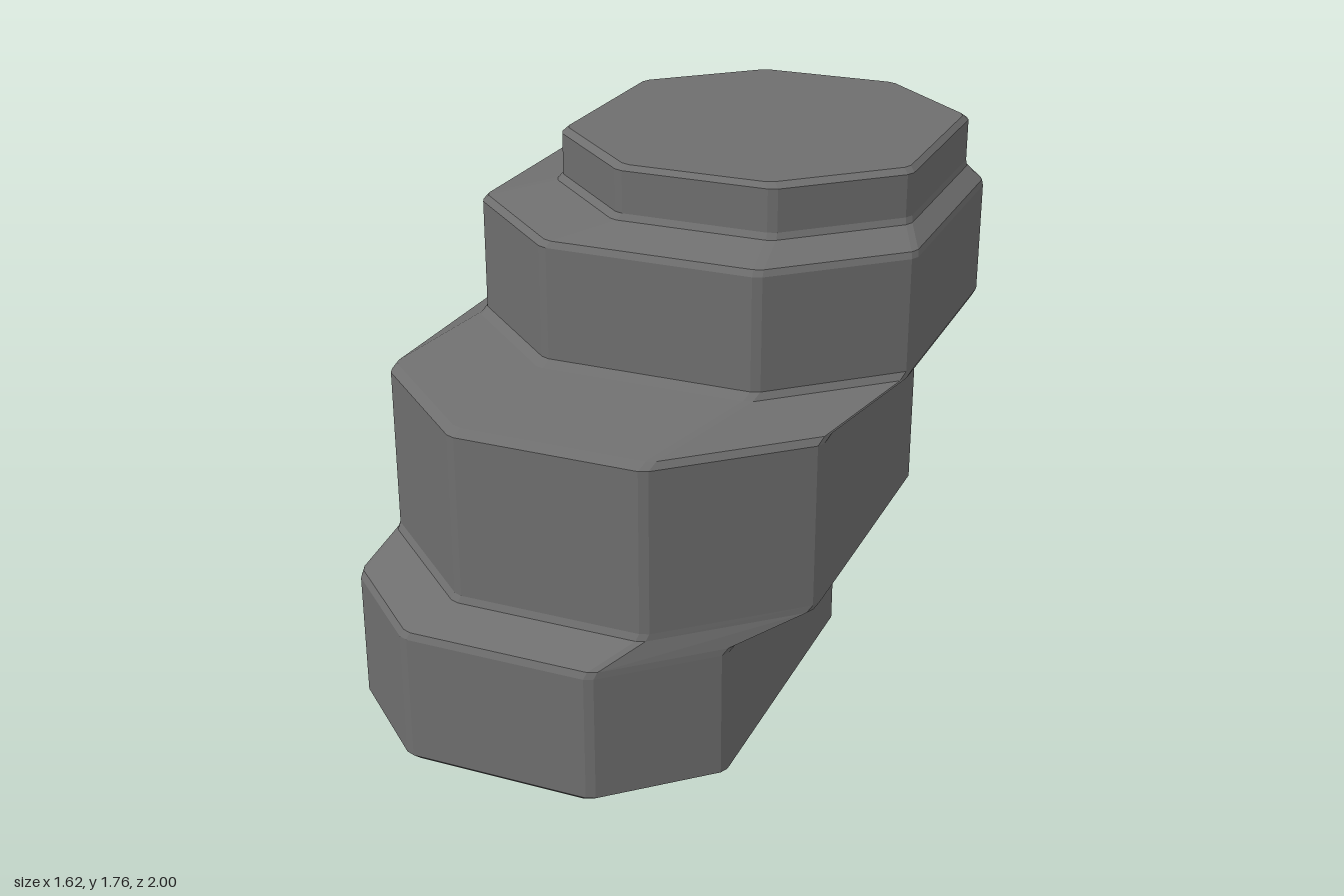
import * as THREE from 'three';

// Stacked tiers: x range, z range, corner cuts along x and z, y range
const tiers = [
  { x: [-0.81, 0.45], z: [-0.61, 1.0], cut: [0.32, 0.29], y: [0, 0.445] },
  { x: [-0.78, 0.66], z: [-0.835, 0.865], cut: [0.41, 0.365], y: [0.52, 1.08] },
  { x: [-0.635, 0.805], z: [-1.0, 0.45], cut: [0.375, 0.335], y: [1.155, 1.545] },
  { x: [-0.41, 0.745], z: [-0.96, 0.29], cut: [0.33, 0.3], y: [1.595, 1.76] },
];
const BEVEL = 0.016;

// Eight-sided outline with finely trimmed corners, running from +x towards +z
function outline({ x: [x0, x1], z: [z0, z1], cut: [cx, cz] }, y, inset = 0) {
  x0 += inset; x1 -= inset; z0 += inset; z1 -= inset;
  const corners = [
    [x1, z1 - cz], [x1 - cx, z1], [x0 + cx, z1], [x0, z1 - cz],
    [x0, z0 + cz], [x0 + cx, z0], [x1 - cx, z0], [x1, z0 + cz],
  ].map(([x, z]) => new THREE.Vector3(x, y, z));
  const ring = [];
  corners.forEach((p, i) => {
    for (const q of [corners[(i + 7) % 8], corners[(i + 1) % 8]]) {
      ring.push(p.clone().addScaledVector(q.clone().sub(p).normalize(), BEVEL));
    }
  });
  return ring;
}

const blend = (a, b, t) => a.map((p, i) => p.clone().lerp(b[i], t));

// Skin between rings, closed by a fan at each end
function loft(rings) {
  const pos = [];
  const tri = (...pts) => pts.forEach((p) => pos.push(p.x, p.y, p.z));
  const n = rings[0].length;
  for (let r = 0; r < rings.length - 1; r++) {
    const a = rings[r], b = rings[r + 1];
    for (let i = 0; i < n; i++) {
      const j = (i + 1) % n;
      tri(a[i], b[i], a[j]);
      tri(a[j], b[i], b[j]);
    }
  }
  const bottom = rings[0], top = rings[rings.length - 1];
  for (let i = 1; i < n - 1; i++) {
    tri(bottom[0], bottom[i], bottom[i + 1]);
    tri(top[0], top[i + 1], top[i]);
  }
  const geometry = new THREE.BufferGeometry();
  geometry.setAttribute('position', new THREE.Float32BufferAttribute(pos, 3));
  geometry.computeVertexNormals();
  return geometry;
}

export function createModel() {
  const stone = new THREE.MeshStandardMaterial({ color: 0x6e6e6e, flatShading: true });
  stone.name = 'grey stone';

  // Each tier has upright walls; sloping ledges join it to the next
  const rings = [outline(tiers[0], 0, BEVEL)];
  tiers.forEach((tier, i) => {
    const [y0, y1] = tier.y;
    rings.push(outline(tier, y0 + BEVEL), outline(tier, y1 - BEVEL));
    const next = tiers[i + 1];
    if (next) {
      const low = outline(tier, y1), high = outline(next, next.y[0]);
      rings.push(blend(low, high, 0.07), blend(low, high, 0.93));
    } else {
      rings.push(outline(tier, y1, BEVEL));
    }
  });

  const rock = new THREE.Mesh(loft(rings), stone);
  rock.name = 'tieredRock';
  const group = new THREE.Group();
  group.name = 'rockColumn';
  group.add(rock);
  return group;
}
